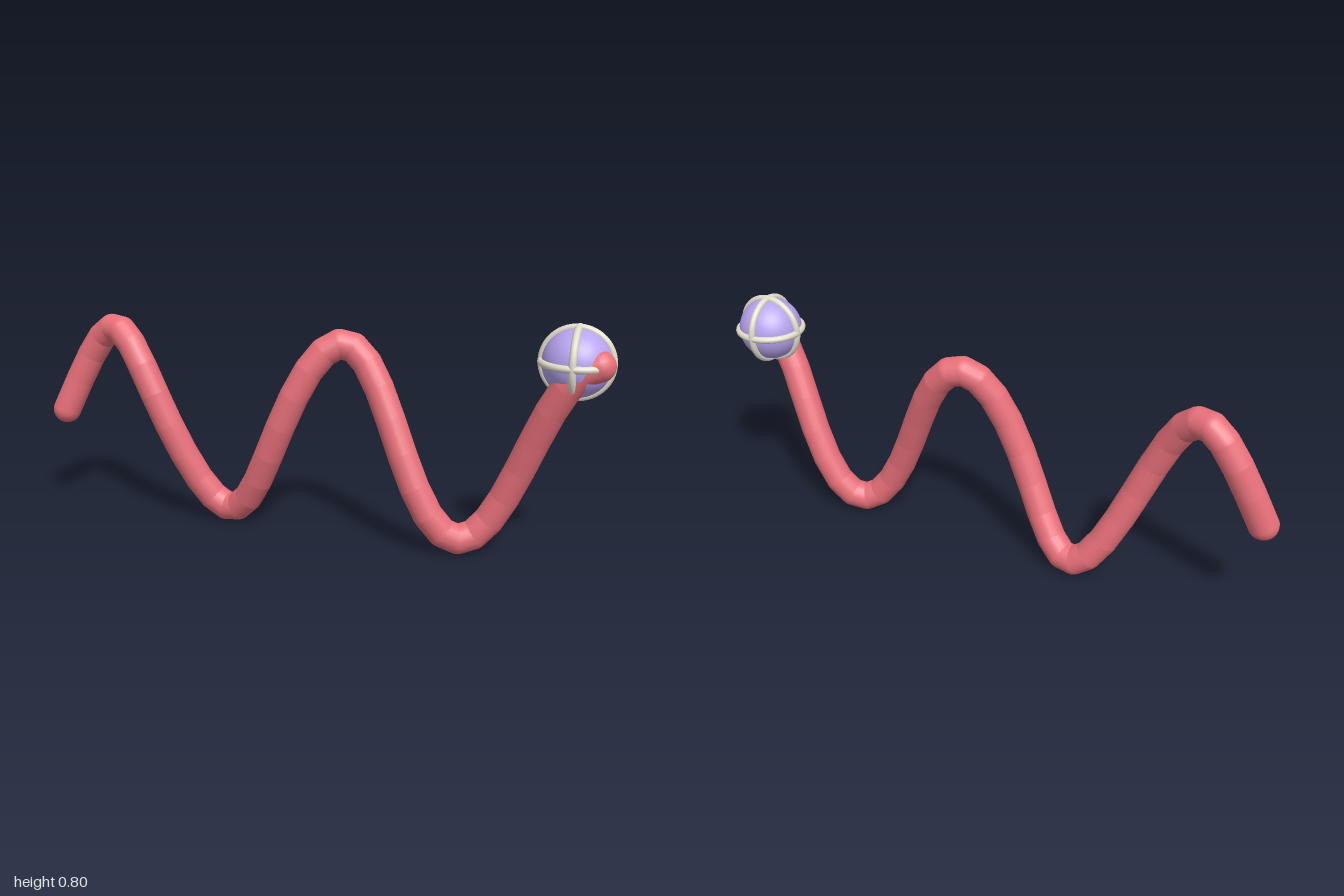
import * as THREE from 'three';

const RADIUS = 0.05;
const SEGMENTS = 40;

// Wavy centreline: a tall wave in y and a gentle, shorter one in z
function pathPoint(t) {
  const x = -0.95 + 1.9 * t;
  return new THREE.Vector3(
    x,
    0.367 + 0.314 * Math.sin(t * 4.5 * Math.PI),
    0.019 - 0.034 * Math.sin((x + 0.95) / 0.4925 * 2 * Math.PI)
  );
}

// Capsule whose cap centres lie on a and b
function capsuleBetween(a, b, material) {
  const dir = b.clone().sub(a);
  const mesh = new THREE.Mesh(new THREE.CapsuleGeometry(RADIUS, dir.length(), 8, 20), material);
  mesh.position.copy(a).add(b).multiplyScalar(0.5);
  mesh.quaternion.setFromUnitVectors(new THREE.Vector3(0, 1, 0), dir.normalize());
  return mesh;
}

export function createModel() {
  const model = new THREE.Group();
  model.name = 'wavyBodyWithBall';
  const red = new THREE.MeshStandardMaterial({ color: 0xe9707a });
  const purple = new THREE.MeshStandardMaterial({ color: 0xb8a4f0 });
  const ivory = new THREE.MeshStandardMaterial({ color: 0xe2dccb });

  // Body: chain of overlapping capsules
  const body = new THREE.Group();
  body.name = 'body';
  for (let i = 0; i < SEGMENTS; i++) {
    const segment = capsuleBetween(pathPoint(i / SEGMENTS), pathPoint((i + 1) / SEGMENTS), red);
    segment.name = `bodySegment${i + 1}`;
    body.add(segment);
  }
  model.add(body);

  // Ball caged by three perpendicular rings
  const ball = new THREE.Group();
  ball.name = 'cagedBall';
  ball.position.set(0.876, 0.678, 0);
  const core = new THREE.Mesh(new THREE.SphereGeometry(0.11, 40, 28), purple);
  core.name = 'ballCore';
  ball.add(core);
  const ringGeometry = new THREE.TorusGeometry(0.111, 0.012, 12, 56);
  const turns = { frontRing: [0, 0], sideRing: [0, Math.PI / 2], levelRing: [Math.PI / 2, 0] };
  for (const [name, [rx, ry]] of Object.entries(turns)) {
    const ring = new THREE.Mesh(ringGeometry, ivory);
    ring.name = name;
    ring.rotation.set(rx, ry, 0);
    ball.add(ring);
  }
  model.add(ball);

  return model;
}
